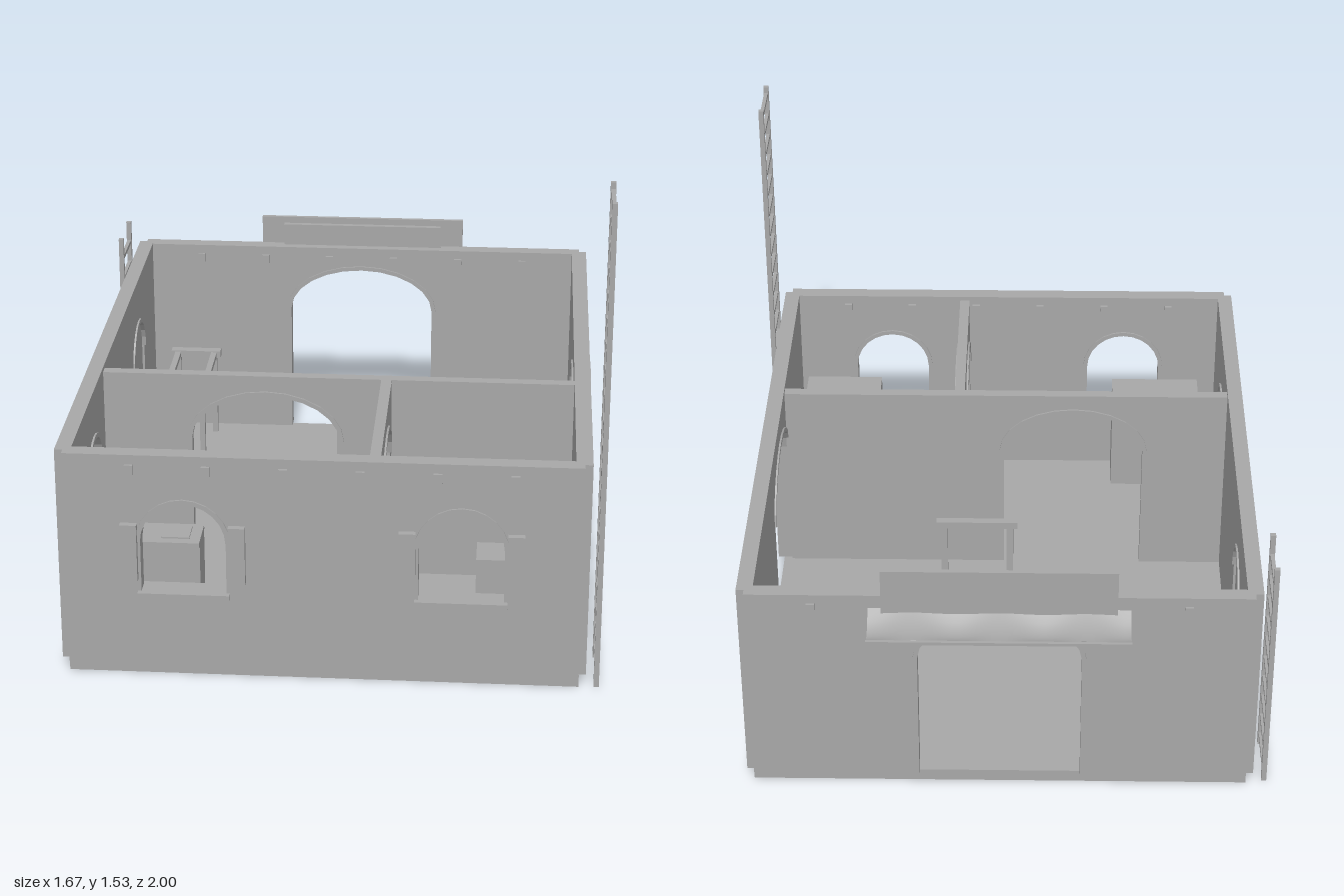
import * as THREE from 'three';

const stone = new THREE.MeshStandardMaterial({ color: 0xa8a8a8 });
stone.name = 'plain grey';
const cloth = new THREE.MeshStandardMaterial({ color: 0xa8a8a8, side: THREE.DoubleSide });
cloth.name = 'grey cloth';

function add(parent, name, geometry) {
  const mesh = new THREE.Mesh(geometry, stone);
  mesh.name = name;
  parent.add(mesh);
  return mesh;
}

// Box given by its limits on each axis
function box(parent, name, x0, x1, y0, y1, z0, z1) {
  const mesh = add(parent, name, new THREE.BoxGeometry(x1 - x0, y1 - y0, z1 - z0));
  mesh.position.set((x0 + x1) / 2, (y0 + y1) / 2, (z0 + z1) / 2);
  return mesh;
}

function extrude(parent, name, shape, z0, z1) {
  const mesh = add(parent, name, new THREE.ExtrudeGeometry(shape, { depth: z1 - z0, bevelEnabled: false }));
  mesh.position.z = z0;
  return mesh;
}

// Points of an arch from its left springing to its right springing
function archPoints(o, grow = 0, steps = 12) {
  const pts = [];
  for (let i = 0; i <= steps; i++) {
    const a = Math.PI * (1 - i / steps);
    pts.push(new THREE.Vector2(o.u + (o.w / 2 + grow) * Math.cos(a), o.spring + (o.rise + grow) * Math.sin(a)));
  }
  return pts;
}

function openingPoints(o) {
  return [new THREE.Vector2(o.u - o.w / 2, o.y0), ...archPoints(o), new THREE.Vector2(o.u + o.w / 2, o.y0)];
}

const FLOOR = 0.04;
const door = (u, w = 0.47) => ({ u, w, y0: FLOOR, spring: 0.5, rise: 0.15, isDoor: true });
const window_ = (u, blind = false) => ({ u, w: 0.255, y0: 0.285, spring: 0.45, rise: 0.127, blind });

// Wall in its own plane (u along, y up), with arched openings; out is the outer side of local z
function wall(root, name, u0, u1, top, t, openings, out = 1) {
  const g = new THREE.Group();
  g.name = name;
  root.add(g);
  const outline = [new THREE.Vector2(u0, FLOOR)];
  openings.filter(o => o.isDoor).forEach(o => outline.push(...openingPoints(o)));
  outline.push(new THREE.Vector2(u1, FLOOR), new THREE.Vector2(u1, top), new THREE.Vector2(u0, top));
  const shape = new THREE.Shape(outline);
  openings.filter(o => !o.isDoor).forEach(o => shape.holes.push(new THREE.Path(openingPoints(o))));
  extrude(g, 'wallPanel', shape, -t / 2, t / 2);

  for (const o of openings) {
    // Raised band around the arch
    const band = new THREE.Shape([...archPoints(o, 0.014), ...archPoints(o).reverse()]);
    extrude(g, 'archBand', band, -t / 2 - 0.006, t / 2 + 0.006);
    if (o.isDoor) continue;
    // Sill and open shutters
    const outer = out * t / 2;
    const span = (a, b) => [Math.min(a, b), Math.max(a, b)];
    box(g, 'windowSill', o.u - 0.138, o.u + 0.138, 0.268, 0.286, ...span(outer + out * 0.018, -outer - out * 0.012));
    for (const s of [-1, 1]) {
      const c = o.u + s * 0.161;
      box(g, 'shutter', c - 0.025, c + 0.025, 0.325, 0.51, ...span(outer, outer + out * 0.02));
    }
    if (o.blind) extrude(g, 'blindPanel', new THREE.Shape(openingPoints(o)), -t / 2 + 0.008, t / 2 - 0.008);
  }
  return g;
}

function ladder(root, name, x, z0, z1, height, firstRung, step, rungs) {
  const g = new THREE.Group();
  g.name = name;
  root.add(g);
  for (const z of [z0, z1 - 0.016]) box(g, 'ladderRail', x - 0.008, x + 0.008, 0, height, z, z + 0.016);
  for (let i = 0; i < rungs; i++) {
    const y = firstRung + i * step;
    box(g, 'rung', x - 0.006, x + 0.006, y - 0.007, y + 0.007, z0 + 0.01, z1 - 0.01);
  }
}

export function createModel() {
  const root = new THREE.Group();
  root.name = 'courtyardHouse';

  // Floor slab
  box(root, 'floorSlab', -0.77, 0.77, 0, FLOOR, -0.84, 0.957);

  // Outer walls, with notched corners
  const front = wall(root, 'frontWall', -0.767, 0.767, 0.73, 0.05, [window_(-0.413), window_(0.413)]);
  front.position.z = 0.952;
  const back = wall(root, 'backWall', -0.767, 0.767, 0.73, 0.048, [door(0, 0.5)], -1);
  back.position.z = -0.842;
  const left = wall(root, 'leftWall', -0.952, 0.842, 0.73, 0.05, [door(-0.065)]);
  left.position.x = 0.766;
  const right = wall(root, 'rightWall', -0.952, 0.842, 0.73, 0.048, [window_(-0.545), window_(0.425, true)], -1);
  right.position.x = -0.768;
  left.rotation.y = right.rotation.y = Math.PI / 2;

  // Inner walls
  const cross = wall(root, 'crossWall', -0.745, 0.742, 0.715, 0.035, [door(-0.23)]);
  cross.position.z = 0.308;
  const partition = wall(root, 'partitionWall', -0.928, -0.325, 0.715, 0.033, [door(-0.635)]);
  partition.position.x = 0.153;
  partition.rotation.y = Math.PI / 2;

  // Beam ends through the front and back walls
  for (let i = 0; i < 6; i++) {
    const x = -0.568 + i * 0.227;
    box(root, 'beamEnd', x - 0.013, x + 0.013, 0.67, 0.7, 0.917, 0.986);
    box(root, 'beamEnd', x - 0.013, x + 0.013, 0.67, 0.7, -0.875, -0.809);
  }

  // Ladders
  ladder(root, 'tallLadder', 0.823, 0.755, 0.955, 1.535, 0.04, 0.0773, 20);
  ladder(root, 'shortLadder', -0.828, -0.83, -0.635, 0.81, 0.04, 0.0773, 10);

  // Sign board above the back door
  box(root, 'signBoard', -0.355, 0.355, 0.66, 0.827, -0.878, -0.864);
  box(root, 'signPanel', -0.277, 0.277, 0.68, 0.805, -0.864, -0.846);

  // Sagging cloth awning and its struts
  const awning = new THREE.PlaneGeometry(0.79, 1, 40, 8);
  const p = awning.attributes.position;
  for (let i = 0; i < p.count; i++) {
    const x = p.getX(i), t = p.getY(i) + 0.5;
    const ripple = 0.008 * Math.cos(x * 24) * Math.sin(Math.PI * t);
    p.setXYZ(i, x, 0.685 - 0.03 * t - 0.022 * Math.sin(Math.PI * t) + ripple, -0.866 - 0.129 * t);
  }
  awning.computeVertexNormals();
  add(root, 'awningCloth', awning).material = cloth;
  box(root, 'awningBar', -0.395, 0.395, 0.649, 0.659, -1, -0.99);
  for (const x of [-0.253, 0.253]) {
    const strut = add(root, 'awningStrut', new THREE.BoxGeometry(0.015, 0.014, 0.155));
    strut.position.set(x, 0.608, -0.93);
    strut.rotation.x = Math.atan2(0.09, 0.125);
    box(root, 'strutFoot', x - 0.01, x + 0.01, 0.535, 0.59, -0.878, -0.862);
  }

  // Well with posts and crossbar
  const well = new THREE.Group();
  well.name = 'well';
  well.position.set(0.087, 0, -0.083);
  root.add(well);
  const ring = [[0.066, 0.04], [0.092, 0.04], [0.092, 0.15], [0.066, 0.15], [0.066, 0.04]];
  const corners = [];
  ring.slice(0, -1).forEach((a, i) => corners.push([a, ring[i + 1]]));
  for (const pair of corners) {
    add(well, 'wellRing', new THREE.LatheGeometry(pair.map(q => new THREE.Vector2(...q)), 32));
  }
  for (const s of [-1, 1]) box(well, 'wellPost', s * 0.108 - 0.011, s * 0.108 + 0.011, FLOOR, 0.445, -0.012, 0.012);
  box(well, 'wellCrossbar', -0.133, 0.133, 0.442, 0.465, -0.013, 0.013);

  // Open rack beside the right wall
  for (const z of [-0.77, -0.405]) {
    box(root, 'rackEndBar', -0.675, -0.5, 0.33, 0.355, z, z + 0.032);
    for (const x of [-0.66, -0.532]) box(root, 'rackLeg', x, x + 0.018, FLOOR, 0.335, z + 0.006, z + 0.026);
  }
  for (const x of [-0.661, -0.533]) box(root, 'rackRail', x, x + 0.02, 0.335, 0.352, -0.76, -0.385);

  // Kitchen counter, stove and pot
  box(root, 'counter', -0.61, -0.375, FLOOR, 0.4, 0.775, 0.885);
  box(root, 'counterTop', -0.68, -0.375, 0.395, 0.41, 0.77, 0.9);
  box(root, 'counterHatch', -0.493, -0.408, 0.405, 0.415, 0.795, 0.872);
  box(root, 'basinBlock', -0.73, -0.612, 0.036, 0.3, 0.765, 0.89);
  const pot = add(root, 'pot', new THREE.CylinderGeometry(0.04, 0.03, 0.04, 16));
  pot.position.set(-0.675, 0.32, 0.815);

  // Chest with two handles
  box(root, 'chest', 0.455, 0.72, FLOOR, 0.397, 0.805, 0.922);
  for (const x of [0.572, 0.598]) box(root, 'chestHandle', x - 0.005, x + 0.005, 0.2, 0.25, 0.793, 0.806);

  return root;
}
